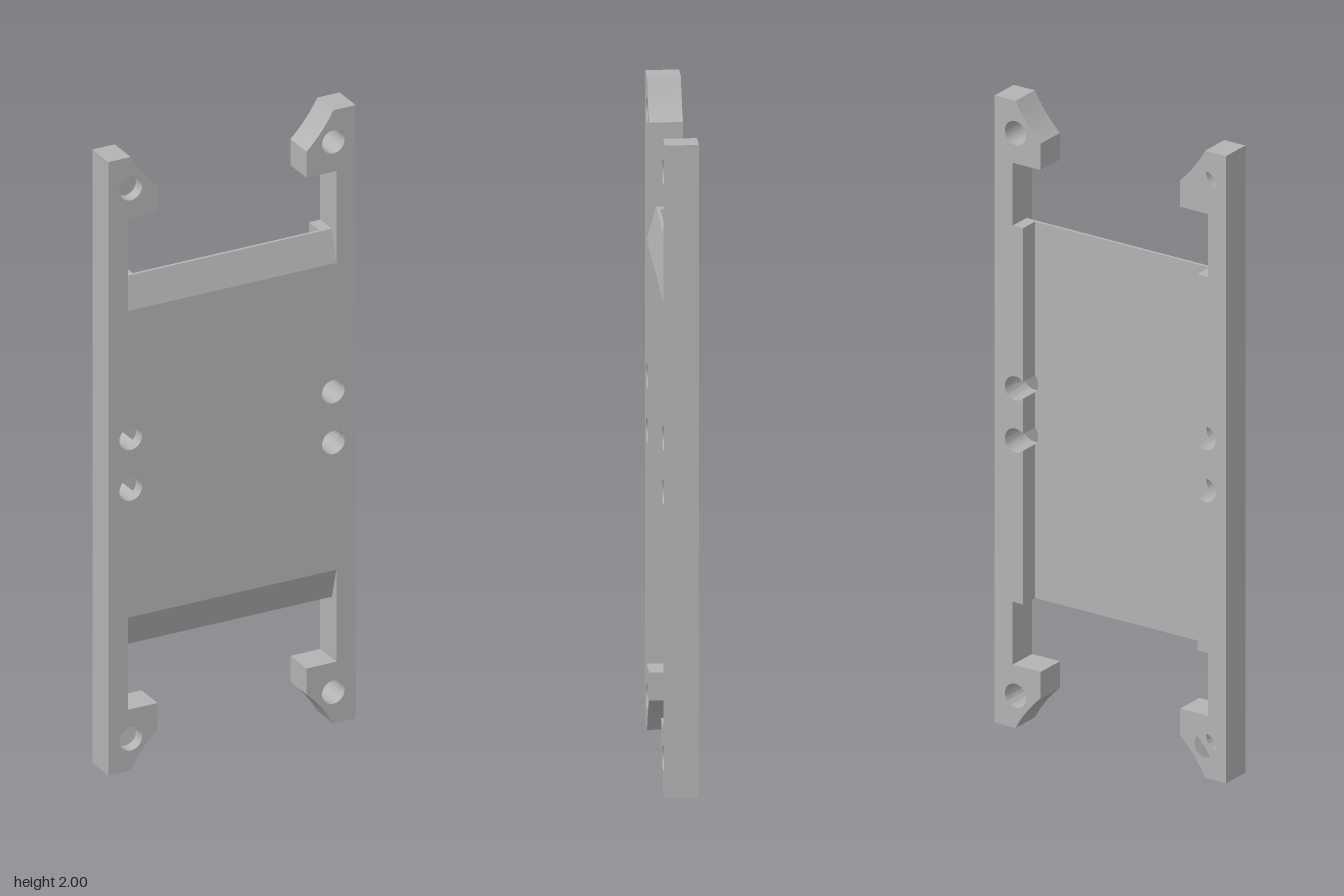
import * as THREE from 'three';
import { toCreasedNormals } from 'three/addons/utils/BufferGeometryUtils.js';

// Outlines are drawn around the centre, then lifted so the frame stands on y = 0.
const BACK = -0.05, FRONT = 0.05, PLATE_BACK = 0.012;
const OUTER = 0.415, RAIL = 0.35, LEDGE = 0.313;
const HOLE_X = 0.34, HOLE_R = 0.038, END_HOLE = 0.897, MID_HOLE = 0.083;
const PLATE_FLAT = 0.5, PLATE_END = 0.6;

const mirror = (pts, sx, sy) => pts.map(p => new THREE.Vector2(p.x * sx, p.y * sy));

// Hook at a rail end, from the outer corner inwards to the rail's inner edge
function hookPoints() {
  const v = (x, y) => new THREE.Vector2(x, y);
  const curve = new THREE.QuadraticBezierCurve(v(0.34, 1), v(0.302, 0.932), v(0.25, 0.885));
  return [v(OUTER, 1), ...curve.getPoints(10), v(0.25, 0.8), v(RAIL, 0.8)];
}

function addHole(shape, x, y) {
  const hole = new THREE.Path();
  hole.absarc(x, y, HOLE_R, 0, Math.PI * 2, true);
  shape.holes.push(hole);
}

function extrude(shape, z0, z1) {
  const g = new THREE.ExtrudeGeometry(shape, { depth: z1 - z0, bevelEnabled: false, curveSegments: 32 });
  g.translate(0, 1, z0);
  return toCreasedNormals(g, 0.5);
}

// Front layer: both rails, four hooks and the flat middle plate in one outline
function frontShape() {
  const half = [...hookPoints(), new THREE.Vector2(RAIL, PLATE_FLAT)];
  const shape = new THREE.Shape([
    ...mirror(half, 1, 1),
    ...mirror(half, -1, 1).reverse(),
    ...mirror(half, -1, -1),
    ...mirror(half, 1, -1).reverse(),
  ]);
  for (const x of [-HOLE_X, HOLE_X])
    for (const y of [END_HOLE, MID_HOLE, -MID_HOLE, -END_HOLE]) addHole(shape, x, y);
  return shape;
}

// Back layer of one rail: hooks, and a ledge whose edge is cut open by the middle holes
function railShape(side) {
  const hook = hookPoints();
  const pts = [...hook, new THREE.Vector2(RAIL, PLATE_END), new THREE.Vector2(LEDGE, PLATE_END)];
  const open = Math.acos((LEDGE - HOLE_X) / HOLE_R);
  for (const y of [MID_HOLE, -MID_HOLE])
    for (let i = 0; i <= 24; i++) {
      const a = open - (2 * open * i) / 24;
      pts.push(new THREE.Vector2(HOLE_X + HOLE_R * Math.cos(a), y + HOLE_R * Math.sin(a)));
    }
  pts.push(new THREE.Vector2(LEDGE, -PLATE_END), new THREE.Vector2(RAIL, -PLATE_END));
  pts.push(...mirror(hook, 1, -1).reverse());
  const shape = new THREE.Shape(mirror(pts, side, 1));
  addHole(shape, side * HOLE_X, END_HOLE);
  addHole(shape, side * HOLE_X, -END_HOLE);
  return shape;
}

// Sloping lip at the top or bottom of the plate
function lipGeometry(sy) {
  const profile = [[PLATE_BACK, PLATE_FLAT], [FRONT, PLATE_FLAT], [0.022, PLATE_END], [PLATE_BACK, PLATE_END]];
  const shape = new THREE.Shape(profile.map(([z, y]) => new THREE.Vector2(z, y * sy)));
  const g = new THREE.ExtrudeGeometry(shape, { depth: RAIL * 2, bevelEnabled: false });
  g.rotateY(-Math.PI / 2);
  g.translate(RAIL, 1, 0);
  return g;
}

export function createModel() {
  const group = new THREE.Group();
  group.name = 'mountingFrame';
  const grey = new THREE.MeshStandardMaterial({ color: 0xb3b3b3 });
  grey.name = 'grey';
  const add = (name, geometry) => {
    const mesh = new THREE.Mesh(geometry, grey);
    mesh.name = name;
    group.add(mesh);
  };

  add('frontPlateAndRails', extrude(frontShape(), PLATE_BACK, FRONT));
  add('leftRailBack', extrude(railShape(1), BACK, PLATE_BACK));
  add('rightRailBack', extrude(railShape(-1), BACK, PLATE_BACK));
  add('topLip', lipGeometry(1));
  add('bottomLip', lipGeometry(-1));
  return group;
}
